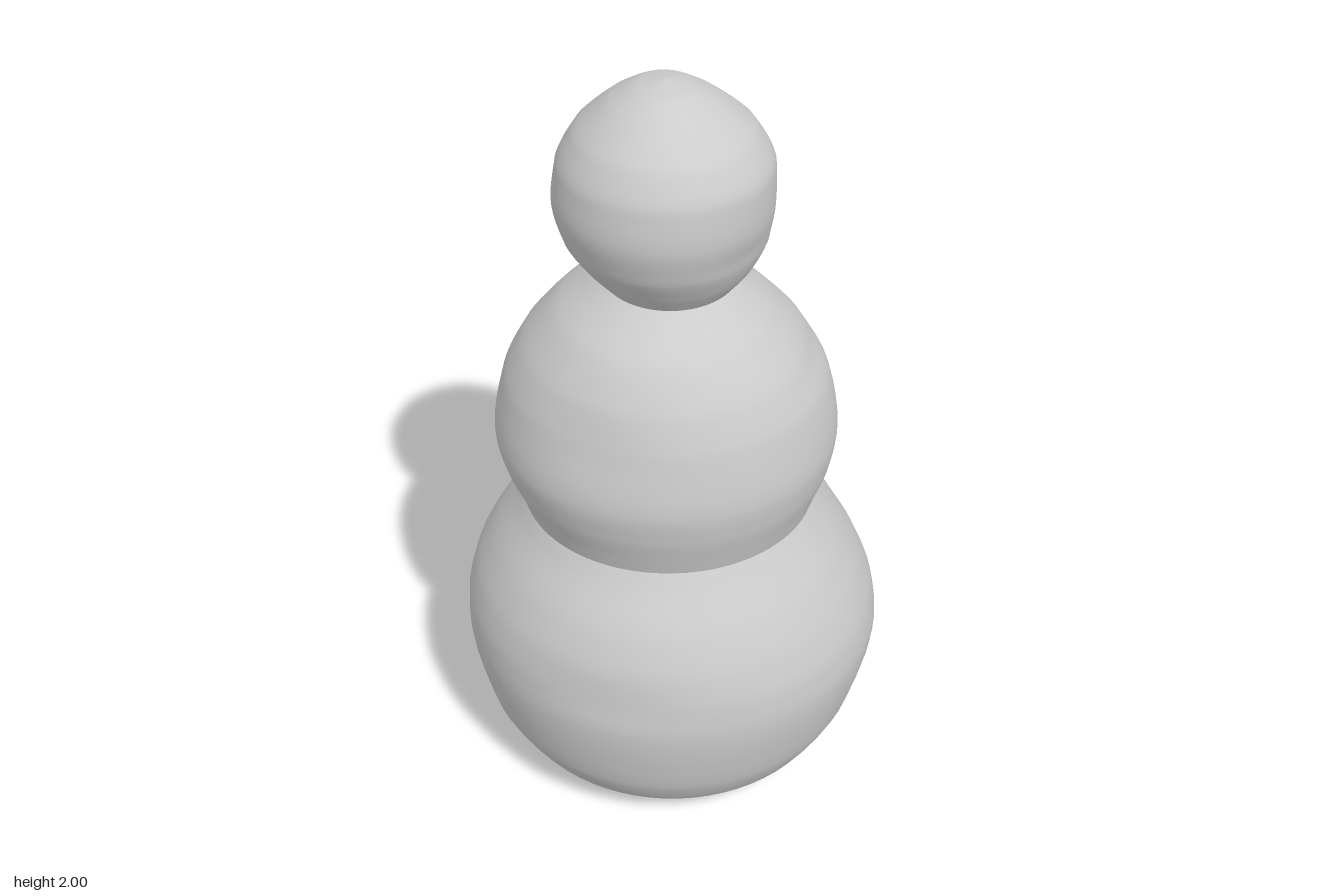
import * as THREE from 'three';

const material = new THREE.MeshStandardMaterial({ color: 0xcccccc });

// Rings from bottom to top: [height, right edge, left edge, back edge, front edge]
const waist = [0.835, -0.4, 0.375, -0.375, 0.39];
const neck = [1.485, -0.18, 0.162, -0.188, 0.185];

const baseRings = [
  [0.012, 0, 0, 0, 0],
  [0.008, -0.15, 0.15, -0.15, 0.15],
  [0.003, -0.29, 0.29, -0.29, 0.29],
  [0.02, -0.37, 0.37, -0.37, 0.36],
  [0.05, -0.43, 0.425, -0.44, 0.425],
  [0.1, -0.475, 0.468, -0.487, 0.475],
  [0.2, -0.53, 0.52, -0.53, 0.525],
  [0.4, -0.57, 0.565, -0.555, 0.555],
  [0.5, -0.565, 0.55, -0.54, 0.55],
  [0.6, -0.537, 0.51, -0.507, 0.525],
  [0.7, -0.485, 0.455, -0.457, 0.48],
  [0.79, -0.425, 0.4, -0.397, 0.418],
  waist,
];

const bodyRings = [
  waist,
  [0.88, -0.414, 0.389, -0.388, 0.402],
  [0.95, -0.445, 0.415, -0.412, 0.42],
  [1.04, -0.465, 0.428, -0.43, 0.43],
  [1.2, -0.435, 0.4, -0.4, 0.402],
  [1.3, -0.385, 0.345, -0.353, 0.365],
  [1.4, -0.298, 0.25, -0.283, 0.3],
  [1.455, -0.222, 0.19, -0.218, 0.228],
  neck,
];

const headRings = [
  neck,
  [1.53, -0.222, 0.2, -0.225, 0.217],
  [1.6, -0.27, 0.234, -0.263, 0.257],
  [1.7, -0.294, 0.246, -0.271, 0.28],
  [1.8, -0.281, 0.243, -0.259, 0.272],
  [1.88, -0.237, 0.198, -0.218, 0.23],
  [1.95, -0.158, 0.112, -0.14, 0.15],
  [1.985, -0.092, 0.046, -0.08, 0.082],
  [2, -0.022, -0.022, 0, 0],
];

// Soft hollows pressed into the surface: [angle from +x towards +z, height, depth, angular width, height spread]
const dents = [
  [0.1, 1.27, 0.012, 0.4, 0.07],
  [2.1, 1.2, 0.008, 0.35, 0.08],
  [1.9, 0.5, 0.008, 0.4, 0.06],
  [4.9, 0.68, 0.01, 0.4, 0.06],
  [5.3, 1.15, 0.01, 0.3, 0.08],
  [0.8, 1.62, 0.006, 0.4, 0.05],
];

function dentAt(angle, y) {
  let sum = 0;
  for (const [a, h, depth, wide, tall] of dents) {
    const d = Math.atan2(Math.sin(angle - a), Math.cos(angle - a)) / wide;
    sum += depth * Math.exp(-d * d - ((y - h) / tall) ** 2);
  }
  return sum;
}

// Lofts a smooth ball through its rings
function ball(name, rings, rows = 48, sides = 72) {
  const centres = new THREE.CatmullRomCurve3(
    rings.map(([y, x0, x1, z0, z1]) => new THREE.Vector3((x0 + x1) / 2, y, (z0 + z1) / 2)));
  const radii = new THREE.CatmullRomCurve3(
    rings.map(([, x0, x1, z0, z1]) => new THREE.Vector3((x1 - x0) / 2, 0, (z1 - z0) / 2)));

  // A wrapped lathe supplies a grid with seamless normals
  const profile = [];
  for (let i = 0; i <= rows; i++) profile.push(new THREE.Vector2(1, i / rows));
  const geometry = new THREE.LatheGeometry(profile, sides);
  const pos = geometry.attributes.position;
  const c = new THREE.Vector3();
  const r = new THREE.Vector3();
  for (let i = 0; i < pos.count; i++) {
    const t = (i % (rows + 1)) / rows;
    const angle = Math.atan2(pos.getZ(i), pos.getX(i));
    centres.getPoint(t, c);
    radii.getPoint(t, r);
    const press = 1 - dentAt(angle, c.y) / Math.max(r.x, 0.1);
    pos.setXYZ(i,
      c.x + Math.max(r.x, 0) * press * Math.cos(angle),
      Math.max(c.y, 0),
      c.z + Math.max(r.z, 0) * press * Math.sin(angle));
  }
  geometry.computeVertexNormals();

  // Average the normals along the lathe seam
  const n = geometry.attributes.normal;
  const a = new THREE.Vector3();
  const b = new THREE.Vector3();
  for (let j = 0; j <= rows; j++) {
    const k = sides * (rows + 1) + j;
    a.fromBufferAttribute(n, j).add(b.fromBufferAttribute(n, k)).normalize();
    n.setXYZ(j, a.x, a.y, a.z);
    n.setXYZ(k, a.x, a.y, a.z);
  }
  const mesh = new THREE.Mesh(geometry, material);
  mesh.name = name;
  return mesh;
}

export function createModel() {
  const group = new THREE.Group();
  group.name = 'snowFigure';
  group.add(
    ball('baseBall', baseRings),
    ball('bodyBall', bodyRings),
    ball('headBall', headRings),
  );
  return group;
}
